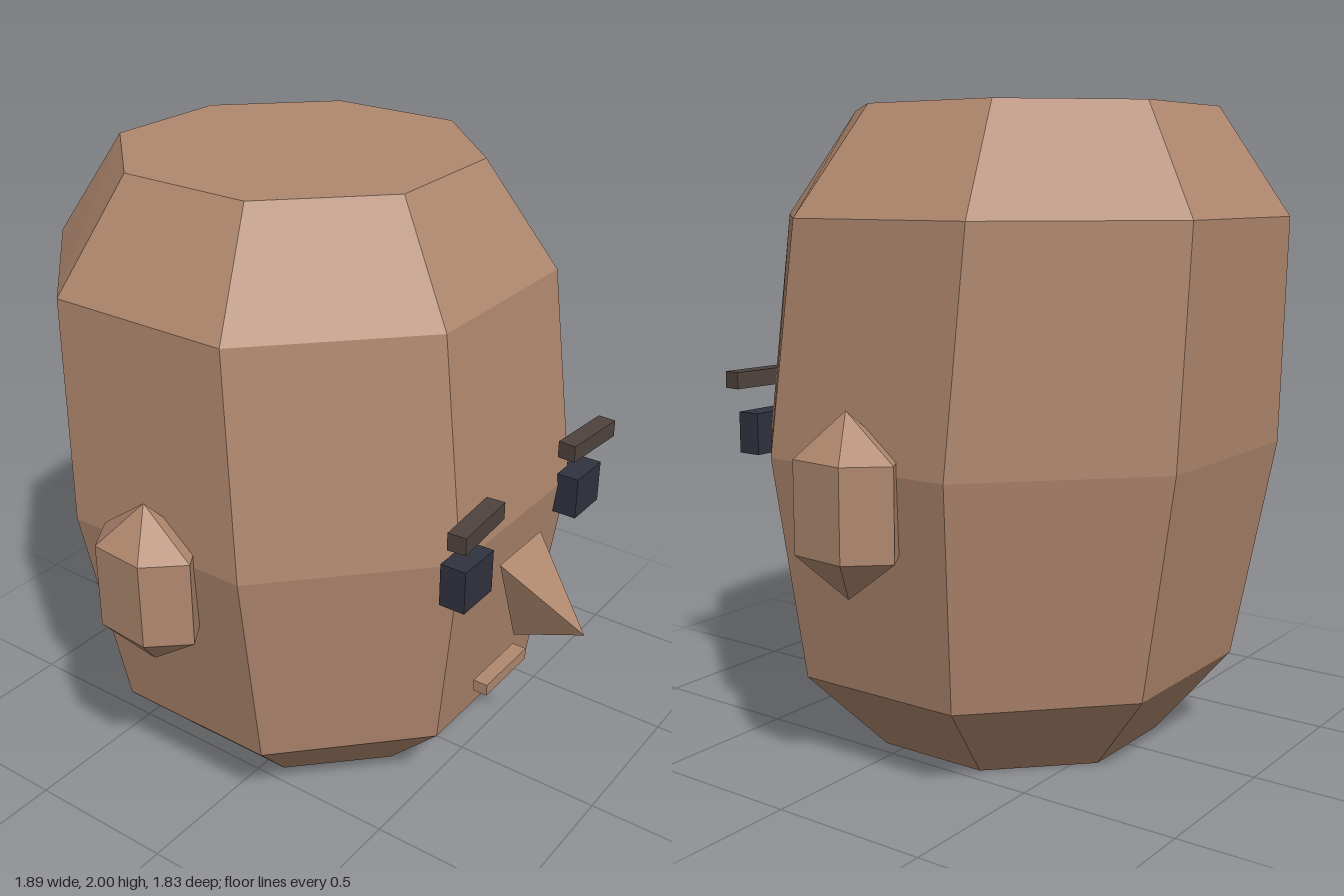
import * as THREE from 'three';

const mat = (name, color) => {
  const m = new THREE.MeshStandardMaterial({ color, flatShading: true });
  m.name = name;
  return m;
};

export function createModel() {
  const skin = mat('skin', 0xb0886f);
  const brow = mat('dark brown', 0x4f433e);
  const eye = mat('dark navy', 0x30323e);
  const group = new THREE.Group();

  const add = (name, geometry, material, x = 0, y = 0, z = 0) => {
    const mesh = new THREE.Mesh(geometry, material);
    mesh.name = name;
    mesh.position.set(x, y, z);
    group.add(mesh);
    return mesh;
  };

  // Head: octagonal rings [y, half width, half depth, centre z], capped at both ends
  const rings = [
    [0, 0.445, 0.445, -0.115],
    [0.27, 0.69, 0.67, -0.1],
    [0.97, 0.8, 0.773, -0.117],
    [1.67, 0.755, 0.743, -0.172],
    [2, 0.525, 0.538, -0.178],
  ];
  const r = 1 / Math.cos(Math.PI / 8);
  const profile = [
    new THREE.Vector2(0, 0),
    ...rings.map(([y]) => new THREE.Vector2(r, y)),
    new THREE.Vector2(0, 2),
  ];
  const headGeo = new THREE.LatheGeometry(profile, 8, Math.PI / 8);
  const p = headGeo.attributes.position;
  for (let i = 0; i < p.count; i++) {
    const [, hx, hz, cz] = rings.find(([y]) => Math.abs(y - p.getY(i)) < 0.01);
    p.setX(i, p.getX(i) * hx);
    p.setZ(i, p.getZ(i) * hz + cz);
  }
  headGeo.computeVertexNormals();
  add('head', headGeo, skin);

  // Ears: six-sided prisms with pointed ends, flattened sideways
  const earProfile = [[0, 0.6], [1, 0.735], [1, 1.01], [0, 1.145]].map(([x, y]) => new THREE.Vector2(x, y));
  const earGeo = new THREE.LatheGeometry(earProfile, 6, THREE.MathUtils.degToRad(53));
  earGeo.scale(0.125, 1, 0.185);

  for (const [side, s] of [['left', 1], ['right', -1]]) {
    add(side + 'Ear', earGeo, skin, s * 0.828, 0, -0.118);
    add(side + 'Eye', new THREE.BoxGeometry(0.155, 0.14, 0.085), eye, s * 0.338, 0.94, 0.683);
    const b = add(side + 'Eyebrow', new THREE.BoxGeometry(0.24, 0.056, 0.06), brow, s * 0.336, 1.122, 0.707);
    b.rotation.y = -s * 0.07;
  }

  // Nose: pointed tetrahedron
  const L = [-0.125, 0.87, 0.675], R = [0.125, 0.87, 0.675], B = [0, 0.543, 0.67], T = [0, 0.64, 0.915];
  const noseGeo = new THREE.BufferGeometry();
  noseGeo.setAttribute('position', new THREE.Float32BufferAttribute(
    [L, T, R, R, T, B, L, B, T, L, R, B].flat(), 3));
  noseGeo.computeVertexNormals();
  add('nose', noseGeo, skin);

  // Mouth bar
  add('mouth', new THREE.BoxGeometry(0.25, 0.04, 0.05), skin, 0, 0.388, 0.628);

  return group;
}
